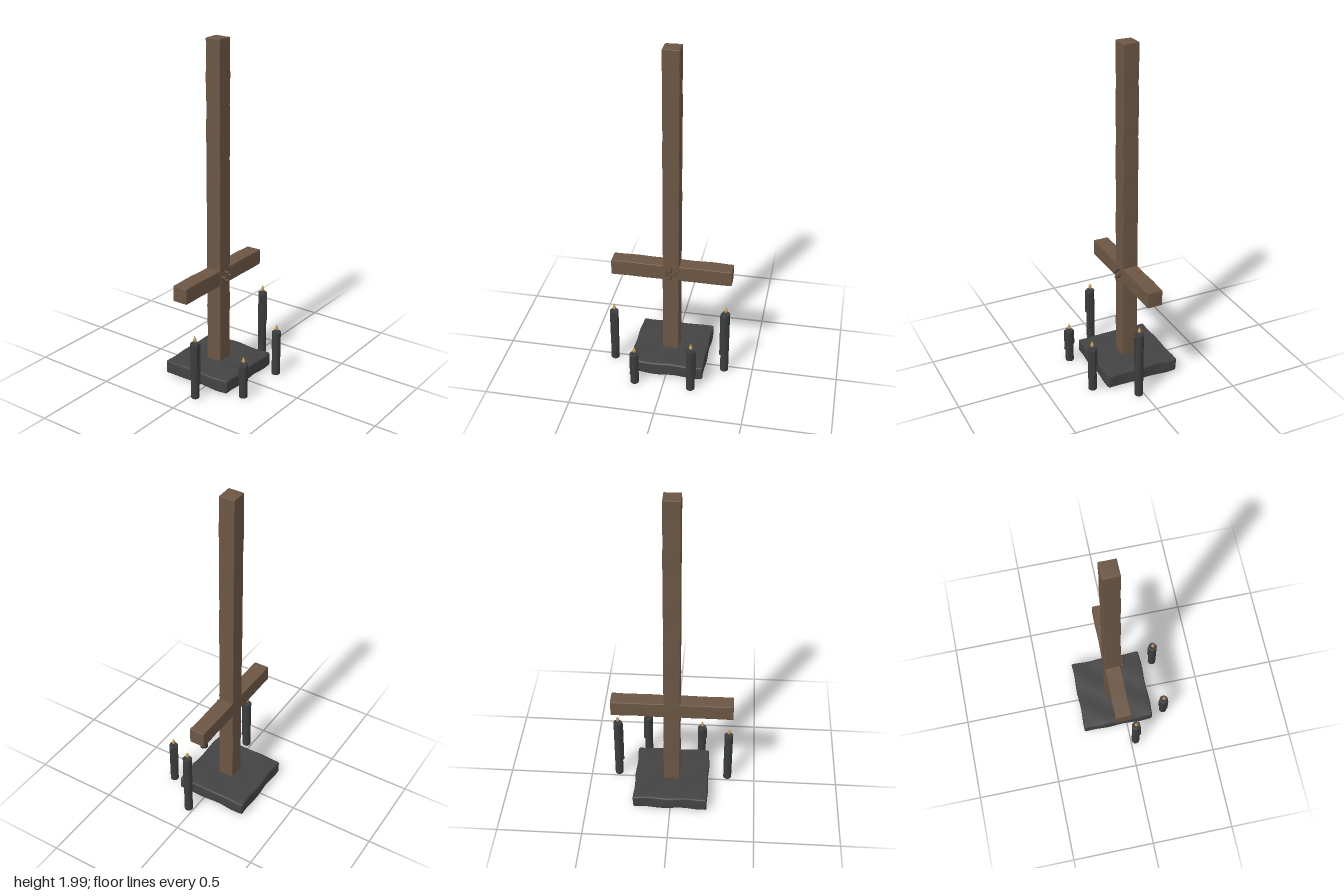
import * as THREE from 'three';
import { mergeVertices } from 'three/addons/utils/BufferGeometryUtils.js';

const mat = (name, color) => {
  const m = new THREE.MeshStandardMaterial({ color });
  m.name = name;
  return m;
};

// Box with narrow rounded edges and a slightly uneven, hand-hewn surface
function hewnBox(size, segs, r, wobble) {
  const geo = new THREE.BoxGeometry(...size, ...segs);
  geo.deleteAttribute('uv');
  geo.deleteAttribute('normal');
  const g = mergeVertices(geo, 1e-5);
  const p = g.attributes.position;
  const v = new THREE.Vector3(), inner = new THREE.Vector3();
  for (let i = 0; i < p.count; i++) {
    v.fromBufferAttribute(p, i);
    ['x', 'y', 'z'].forEach((a, k) => {
      const h = size[k] / 2, n = segs[k];
      const j = Math.round((v[a] + h) / size[k] * n);
      // outermost cells shrink to the edge radius
      if (j > 0 && j < n) v[a] = -h + r + (size[k] - 2 * r) * (j - 1) / (n - 2);
      inner[a] = THREE.MathUtils.clamp(v[a], -h + r, h - r);
    });
    v.sub(inner).setLength(r).add(inner);
    const { x, y, z } = v;
    v.x += wobble * Math.sin(y * 23 + z * 31 + 1);
    v.y += wobble * Math.sin(x * 29 + z * 21 + 2);
    v.z += wobble * Math.sin(x * 27 + y * 19 + 4);
    p.setXYZ(i, v.x, v.y, v.z);
  }
  g.computeVertexNormals();
  return g;
}

const lathe = (pts, n) => new THREE.LatheGeometry(pts.map(([x, y]) => new THREE.Vector2(x, y)), n);

export function createModel() {
  const root = new THREE.Group();
  const wood = mat('wood', 0x6c5644);
  const peg = mat('peg wood', 0x58473a);
  const stone = mat('dark stone', 0x434343);
  const wax = mat('dark wax', 0x3b3e3e);
  const flameMat = mat('flame', 0xc89a50);

  const add = (parent, name, geo, material, x, y, z) => {
    const m = new THREE.Mesh(geo, material);
    m.name = name;
    m.position.set(x, y, z);
    parent.add(m);
    return m;
  };

  // Base slab, upright post and crossbeam
  add(root, 'base', hewnBox([0.44, 0.08, 0.44], [14, 4, 14], 0.009, 0.0025), stone, 0, 0.056, -0.054);
  add(root, 'post', hewnBox([0.096, 1.989, 0.094], [4, 40, 4], 0.004, 0.001), wood, 0, 1.0045, -0.053);
  add(root, 'crossbeam', hewnBox([0.712, 0.094, 0.092], [20, 4, 4], 0.004, 0.001), wood, 0, 0.628, -0.054);

  // Four rounded pegs in a diamond at the crossing
  const pegs = new THREE.Group();
  pegs.name = 'pegs';
  root.add(pegs);
  const pegGeo = new THREE.CapsuleGeometry(0.0095, 0.022, 5, 12);
  pegGeo.rotateX(Math.PI / 2);
  for (const [x, y] of [[0, 0.656], [-0.025, 0.631], [0.025, 0.631], [0, 0.606]]) {
    add(pegs, 'peg', pegGeo, peg, x, y, 0.002);
  }

  // Candles: wax column with a dished top, wick, flame and drips
  const flameGeo = lathe([[0, 0], [0.006, 0.004], [0.0105, 0.012], [0.009, 0.021], [0.0045, 0.031], [0.0015, 0.038], [0, 0.042]], 14);
  const wickGeo = new THREE.CylinderGeometry(0.002, 0.0025, 0.014, 8);
  const candles = [
    // x, z, height, drips as [angle, length]
    [-0.335, 0.030, 0.350, [[0.75, 0.24], [2.2, 0.14]]],
    [0.333, 0.030, 0.415, [[3.1, 0.28], [1.57, 0.16]]],
    [-0.168, 0.245, 0.215, [[2.3, 0.12], [-1.6, 0.08], [3.5, 0.06]]],
    [0.165, 0.245, 0.284, [[0, 0.16], [-1.5, 0.10]]],
  ];
  for (const [x, z, h, drips] of candles) {
    const c = new THREE.Group();
    c.name = 'candle';
    c.position.set(x, 0, z);
    root.add(c);
    const y0 = 0.006;
    add(c, 'wax', lathe([[0, y0], [0.022, y0], [0.0245, y0 + 0.003], [0.025, h * 0.5], [0.0255, h - 0.012],
      [0.0265, h - 0.005], [0.0235, h], [0.017, h - 0.002], [0.011, h - 0.005], [0, h - 0.006]], 24), wax, 0, 0, 0);
    add(c, 'wick', wickGeo, wax, 0, h, 0);
    add(c, 'flame', flameGeo, flameMat, 0, h + 0.004, 0);
    for (const [a, len] of drips) {
      const dx = Math.cos(a) * 0.025, dz = Math.sin(a) * 0.025;
      // thin run of wax ending in a heavier bead
      add(c, 'drip', new THREE.CapsuleGeometry(0.007, len, 4, 10), wax, dx, h - 0.012 - len / 2, dz);
      add(c, 'dripBead', new THREE.SphereGeometry(0.0085, 10, 8), wax, dx, h - 0.012 - len, dz).scale.y = 1.5;
    }
  }
  return root;
}
